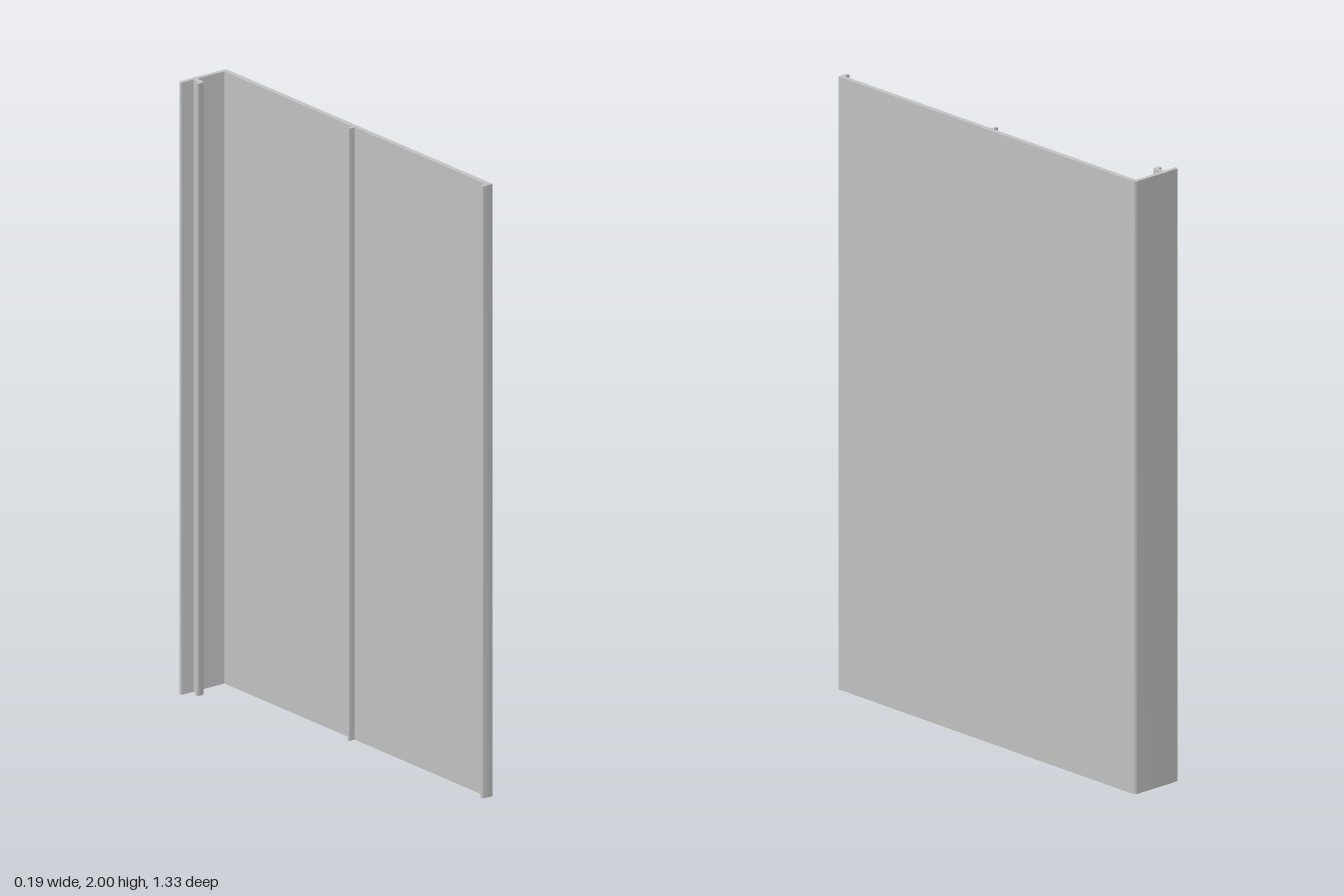
import * as THREE from 'three';
import { toCreasedNormals } from 'three/addons/utils/BufferGeometryUtils.js';

const HEIGHT = 2;

// Closed plan outline from [x, z, cornerRadius] points, extruded upwards
function extrudeProfile(name, points, material) {
  const pts = points.map(([x, z, r = 0]) => ({ p: new THREE.Vector2(x, -z), r }));
  const shape = new THREE.Shape();
  pts.forEach(({ p, r }, i) => {
    const prev = pts[(i + pts.length - 1) % pts.length].p;
    const next = pts[(i + 1) % pts.length].p;
    const a = prev.clone().sub(p).setLength(r).add(p);
    const b = next.clone().sub(p).setLength(r).add(p);
    if (i === 0) shape.moveTo(a.x, a.y);
    else shape.lineTo(a.x, a.y);
    if (r > 0) shape.quadraticCurveTo(p.x, p.y, b.x, b.y);
  });
  shape.closePath();
  const geometry = new THREE.ExtrudeGeometry(shape, { depth: HEIGHT, bevelEnabled: false, curveSegments: 5 });
  geometry.rotateX(-Math.PI / 2);
  const mesh = new THREE.Mesh(toCreasedNormals(geometry, 0.6), material);
  mesh.name = name;
  return mesh;
}

export function createModel() {
  const metal = new THREE.MeshStandardMaterial({ color: 0xc0c0c0 });
  metal.name = 'grey metal';
  const group = new THREE.Group();
  group.name = 'trimProfile';

  // Wide panel with the return flange at the back and a short lip at the front
  group.add(extrudeProfile('panel', [
    [-0.093, -0.665, 0.009], [0.092, -0.665, 0.012], [0.092, 0.664, 0.003],
    [0.053, 0.664, 0.005], [0.053, 0.652, 0.002], [0.075, 0.652, 0.004],
    [0.075, -0.651, 0.003], [-0.093, -0.651, 0.002],
  ], metal));

  // Hook hanging from the inside of the flange
  group.add(extrudeProfile('flangeHook', [
    [-0.046, -0.651], [-0.032, -0.651], [-0.032, -0.611, 0.013],
    [-0.061, -0.611, 0.003], [-0.061, -0.624, 0.003], [-0.046, -0.624, 0.004],
  ], metal));

  // Small rib halfway along the inside of the panel
  group.add(extrudeProfile('middleRib', [
    [0.075, -0.014], [0.075, -0.003], [0.053, -0.003, 0.003], [0.053, -0.014, 0.006],
  ], metal));

  return group;
}
